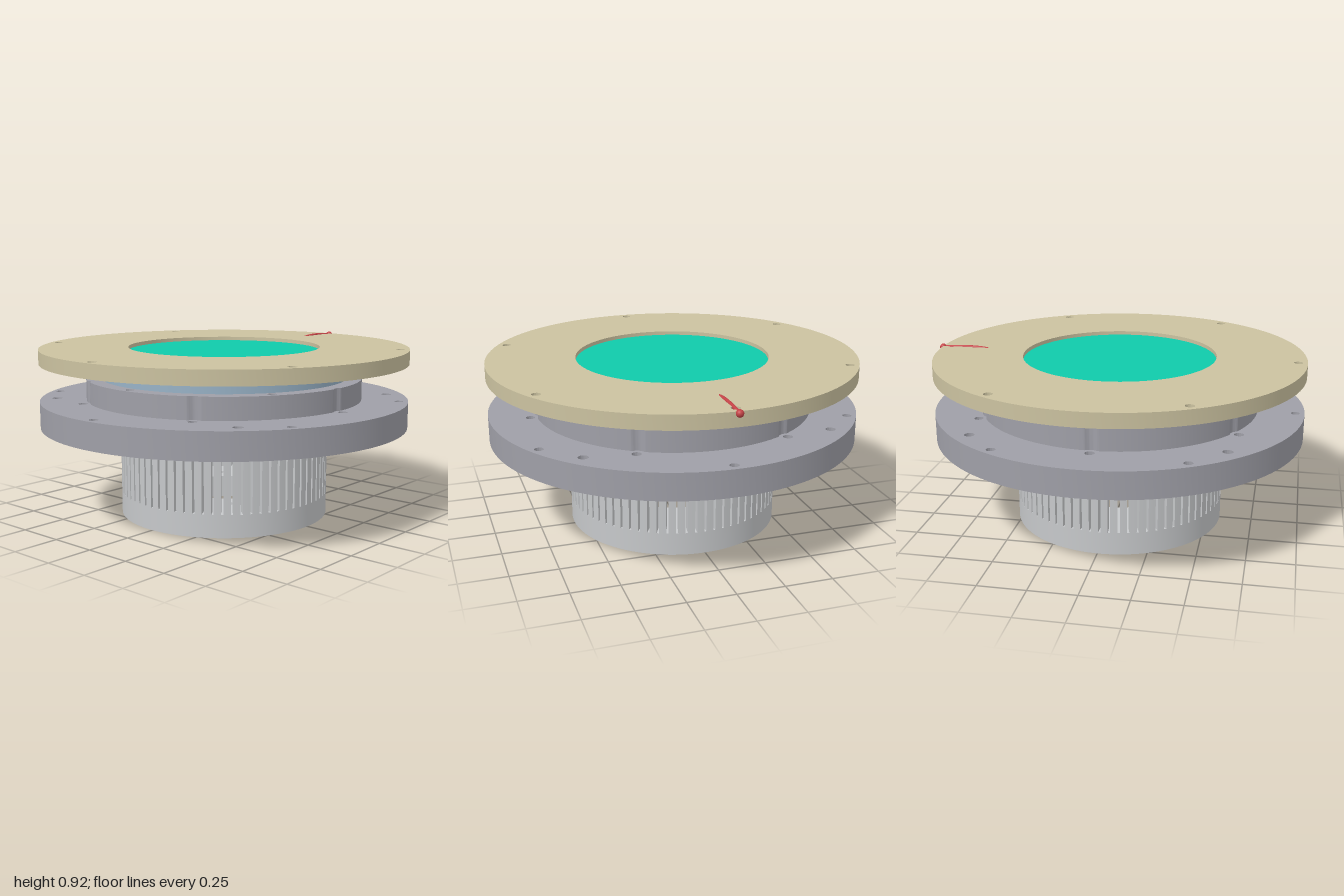
import * as THREE from 'three';
import { toCreasedNormals } from 'three/addons/utils/BufferGeometryUtils.js';

const AXIS_X = -0.012; // the round body sits slightly off centre because of the bead
const TAU = Math.PI * 2;

const paint = (name, color) => {
  const m = new THREE.MeshStandardMaterial({ color });
  m.name = name;
  return m;
};

// count holes of radius r evenly spaced on a circle
const ring = (count, dist, r, start = 0) =>
  Array.from({ length: count }, (_, i) => {
    const a = start + (i / count) * TAU;
    return [Math.cos(a) * dist, Math.sin(a) * dist, r];
  });

function disc(radius, holes = []) {
  const s = new THREE.Shape();
  s.absarc(0, 0, radius, 0, TAU, false);
  return drill(s, holes);
}

function drill(shape, holes) {
  for (const [x, y, r] of holes) {
    const p = new THREE.Path();
    p.absarc(x, y, r, 0, TAU, true);
    shape.holes.push(p);
  }
  return shape;
}

// upright plate from a plan shape, between heights y0 and y1
function plate(name, shape, y0, y1, material, curveSegments = 96) {
  let g = new THREE.ExtrudeGeometry(shape, { depth: y1 - y0, bevelEnabled: false, curveSegments });
  g.rotateX(-Math.PI / 2);
  g = toCreasedNormals(g, 0.5);
  const mesh = new THREE.Mesh(g, material);
  mesh.name = name;
  mesh.position.y = y0;
  return mesh;
}

export function createModel() {
  const model = new THREE.Group();
  model.name = 'roundInstrument';
  const body = new THREE.Group();
  body.name = 'body';
  body.position.x = AXIS_X;
  model.add(body);

  const silver = paint('silver', 0xc6c8ca);
  const grey = paint('grey', 0x9f9fa7);
  const blue = paint('steel blue', 0x98b2c6);
  const tan = paint('tan', 0xcbc2a0);
  const green = paint('sea green', 0x0fcaaa);
  const red = paint('red', 0xc44347);

  // hollow barrel: floor with bolt holes, then a wall cut into narrow fins
  body.add(plate('barrelFloor', disc(0.563, [
    [0, 0, 0.248], [0.47, 0, 0.026], ...ring(4, 0.348, 0.028, Math.PI / 4),
  ]), 0, 0.12, silver));
  const fins = [];
  const count = 72, outer = 0.563, inner = 0.5, gap = 0.006;
  for (let i = 0; i < count; i++) {
    const a0 = (i / count) * TAU, a1 = ((i + 1) / count) * TAU;
    const s = new THREE.Shape();
    s.absarc(0, 0, outer, a0 + gap / outer, a1 - gap / outer, false);
    s.absarc(0, 0, inner, a1 - gap / inner, a0 + gap / inner, true);
    s.closePath();
    fins.push(s);
  }
  body.add(plate('barrelFins', fins, 0.12, 0.49, silver, 3));

  // wide flange with four rings of bolt holes
  const through = ring(6, 0.7, 0.022);
  body.add(plate('flange', disc(0.988, [
    ...ring(6, 0.94, 0.023),
    ...ring(4, 0.9, 0.026, Math.PI / 4),
    ...ring(6, 0.775, 0.024, Math.PI / 6),
    ...through,
  ]), 0.49, 0.63, grey));

  // step with scalloped clearances beside the flange bolts
  const pts = [];
  const R = 0.742, D = 0.775, rc = 0.045, n = 720;
  for (let i = 0; i < n; i++) {
    const a = (i / n) * TAU;
    const d = ((a % (TAU / 6)) - TAU / 12);
    const q = rc * rc - (D * Math.sin(d)) ** 2;
    const r = q > 0 ? Math.min(R, D * Math.cos(d) - Math.sqrt(q)) : R;
    pts.push(new THREE.Vector2(Math.cos(a) * r, Math.sin(a) * r));
  }
  body.add(plate('step', drill(new THREE.Shape(pts), through), 0.63, 0.745, grey));

  // spacer, cover plate and recessed window
  body.add(plate('spacer', disc(0.665, [[0, 0, 0.515]]), 0.745, 0.83, blue));
  body.add(plate('coverPlate', disc(0.988, [[0, 0, 0.515], ...ring(6, 0.94, 0.023)]), 0.83, 0.905, tan));
  body.add(plate('window', disc(0.514), 0.745, 0.885, green));

  // wire arching over the rim to a bead
  const path = new THREE.CatmullRomCurve3([
    new THREE.Vector3(0.7, 0.893, 0),
    new THREE.Vector3(0.76, 0.901, 0),
    new THREE.Vector3(0.83, 0.904, 0),
    new THREE.Vector3(0.91, 0.901, 0),
    new THREE.Vector3(0.98, 0.896, 0),
  ]);
  const wire = new THREE.Mesh(new THREE.TubeGeometry(path, 32, 0.01, 12), red);
  wire.name = 'wire';
  const bead = new THREE.Mesh(new THREE.SphereGeometry(0.019, 24, 16), red);
  bead.name = 'bead';
  bead.position.set(0.98, 0.896, 0);
  model.add(wire, bead);

  return model;
}
